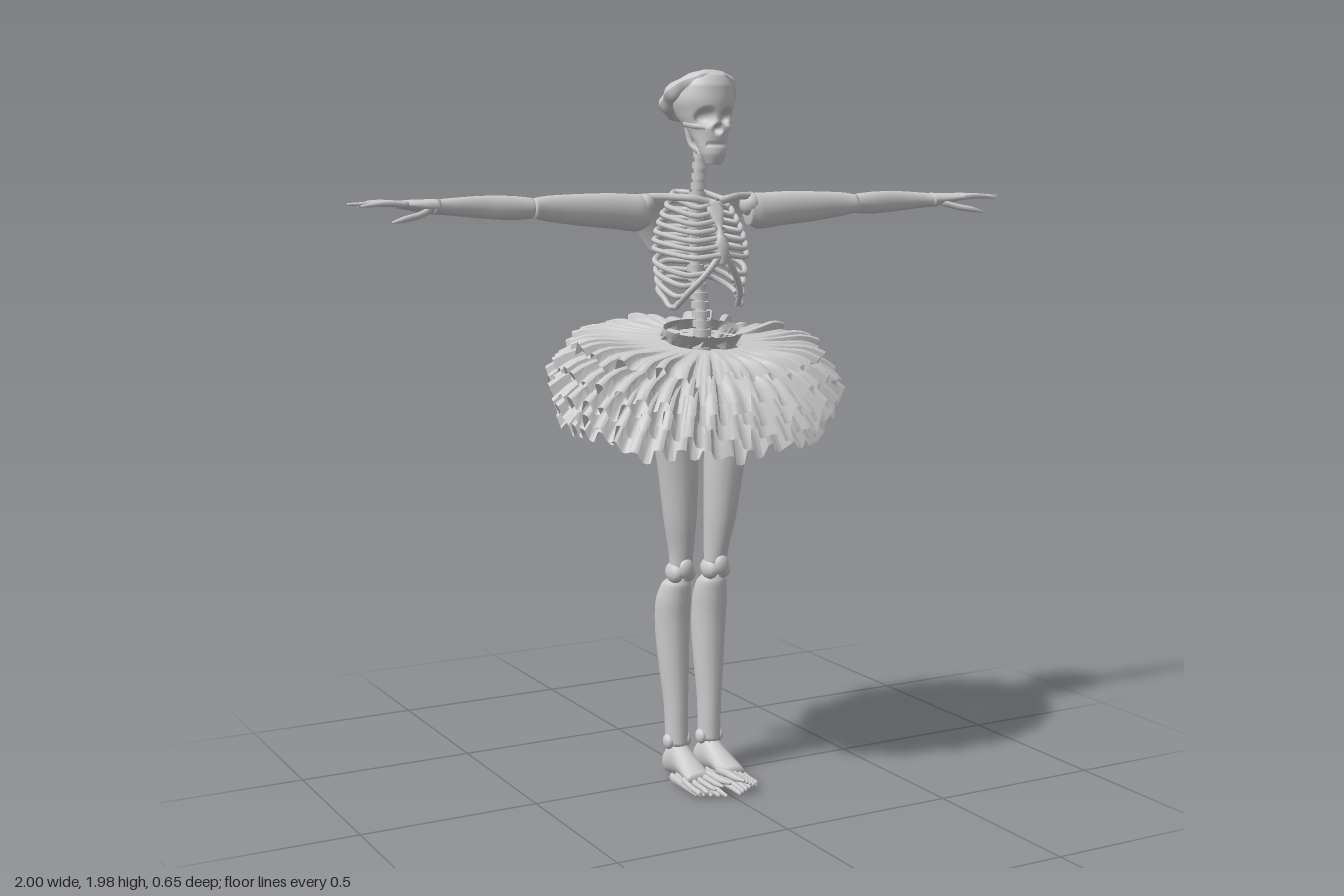
import * as THREE from 'three';
import { toCreasedNormals } from 'three/addons/utils/BufferGeometryUtils.js';

const V = (x, y, z) => new THREE.Vector3(x, y, z);
const boneGrey = new THREE.MeshStandardMaterial({ color: 0xcccccc, side: THREE.DoubleSide });
boneGrey.name = 'bone grey';

// small seeded generator
function seeded(seed) {
  return () => (seed = (seed * 16807) % 2147483647) / 2147483647;
}

// Elliptical loft; each section is [x, y, z, radiusU, radiusV].
// Frames: along y u=z v=x, along x u=y v=z, along z u=x v=y.
const FRAMES = { y: [V(0, 0, 1), V(1, 0, 0)], x: [V(0, 1, 0), V(0, 0, 1)], z: [V(1, 0, 0), V(0, 1, 0)] };
function loft(axis, sections, sides = 14, steps = 4) {
  const [u, v] = FRAMES[axis];
  const centres = new THREE.CatmullRomCurve3(sections.map(s => V(s[0], s[1], s[2])));
  const radii = new THREE.CatmullRomCurve3(sections.map(s => V(s[3], s[4], 0)));
  const rows = (sections.length - 1) * steps, pos = [], idx = [];
  for (let i = 0; i <= rows; i++) {
    const c = centres.getPoint(i / rows), r = radii.getPoint(i / rows);
    for (let j = 0; j < sides; j++) {
      const a = j / sides * Math.PI * 2;
      const p = c.clone().addScaledVector(u, r.x * Math.cos(a)).addScaledVector(v, r.y * Math.sin(a));
      pos.push(p.x, p.y, p.z);
      if (i === rows) continue;
      const k = i * sides + j, n = i * sides + (j + 1) % sides;
      idx.push(k, n, n + sides, k, n + sides, k + sides);
    }
  }
  const first = pos.length / 3, last = rows * sides;
  pos.push(...centres.getPoint(0).toArray(), ...centres.getPoint(1).toArray());
  for (let j = 0; j < sides; j++) {
    const n = (j + 1) % sides;
    idx.push(first, n, j, first + 1, last + j, last + n);
  }
  const g = new THREE.BufferGeometry();
  g.setAttribute('position', new THREE.Float32BufferAttribute(pos, 3));
  g.setIndex(idx);
  g.computeVertexNormals();
  return g;
}

const tube = (pts, r, segs = 20) =>
  new THREE.TubeGeometry(new THREE.CatmullRomCurve3(pts.map(p => V(...p))), segs, r, 6);
const ball = (x, y, z, rx, ry, rz) => new THREE.SphereGeometry(1, 14, 10).scale(rx, ry, rz).translate(x, y, z);

function mirrored(geo) {
  const g = geo.clone().scale(-1, 1, 1), a = g.index.array;
  for (let i = 0; i < a.length; i += 3) [a[i], a[i + 1]] = [a[i + 1], a[i]];
  return g;
}

// Pleated ring, elliptical and tilted forward; jagged at the rim
function skirtLayer([r0, h0, r1, h1, amp, pleats, drop], seed) {
  const rand = seeded(seed), cols = pleats * 8, rows = 9, pos = [], idx = [];
  const jitter = Array.from({ length: pleats }, () => [rand() - 0.5, rand() - 0.5]);
  for (let i = 0; i <= rows; i++) {
    const t = i / rows, hang = Math.max(0, t - 0.7) / 0.3;
    for (let j = 0; j < cols; j++) {
      const a = j / cols * Math.PI * 2, [jr, jh] = jitter[Math.floor(j / 8)];
      const wave = Math.tanh(2.5 * Math.sin(a * pleats + 0.4));
      const r = r0 + (r1 - r0) * t + t * t * (jr * 0.035 + wave * 0.006);
      const h = h0 + (h1 - h0) * t + t ** 1.6 * (amp * wave + jh * 0.03) - drop * hang * hang;
      const z = 0.045 * (1 - t) + r * 0.75 * Math.cos(a);
      pos.push(r * Math.sin(a), h - 0.21 * z, z);
      if (i === rows) continue;
      const k = i * cols + j, n = i * cols + (j + 1) % cols;
      idx.push(k, k + cols, n + cols, k, n + cols, n);
    }
  }
  const g = new THREE.BufferGeometry();
  g.setAttribute('position', new THREE.Float32BufferAttribute(pos, 3));
  g.setIndex(idx);
  return toCreasedNormals(g, 0.6);
}

export function createModel() {
  const model = new THREE.Group();
  model.name = 'dancingSkeleton';
  const group = name => {
    const g = new THREE.Group();
    g.name = name;
    model.add(g);
    return g;
  };
  const add = (parent, name, geo) => {
    const m = new THREE.Mesh(geo, boneGrey);
    m.name = name;
    parent.add(m);
  };
  const pair = (parent, name, geo) => {
    add(parent, name + 'Left', geo);
    add(parent, name + 'Right', mirrored(geo));
  };

  // Skull with sunken eyes, nose and mouth
  const head = group('head');
  const skull = loft('y', [[0, 1.732, 0.098, 0.018, 0.022], [0, 1.76, 0.092, 0.033, 0.036], [0, 1.79, 0.082, 0.04, 0.044],
    [0, 1.82, 0.063, 0.061, 0.054], [0, 1.86, 0.042, 0.082, 0.072], [0, 1.9, 0.038, 0.087, 0.084],
    [0, 1.94, 0.045, 0.076, 0.076], [0, 1.968, 0.057, 0.05, 0.053], [0, 1.983, 0.065, 0.015, 0.015]], 56, 8);
  const dents = [[0.031, 1.857, 0.02, 0.035], [-0.031, 1.857, 0.02, 0.035], [0, 1.825, 0.011, 0.025]];
  const p = skull.attributes.position;
  for (let i = 0; i < p.count; i++) {
    if (p.getZ(i) < 0.06) continue;
    let push = Math.abs(p.getX(i)) < 0.03 ? 0.005 * Math.exp(-(((p.getY(i) - 1.785) / 0.005) ** 2)) : 0;
    for (const [x, y, r, d] of dents)
      push += d * Math.exp(-((((p.getX(i) - x) ** 2 + (p.getY(i) - y) ** 2) / r ** 2) ** 2));
    p.setZ(i, p.getZ(i) - push);
  }
  skull.computeVertexNormals();
  add(head, 'skull', skull);
  pair(head, 'cheekbone', tube([[0.03, 1.828, 0.108], [0.05, 1.833, 0.088], [0.06, 1.84, 0.045]], 0.008));
  pair(head, 'jawBranch', tube([[0.034, 1.765, 0.08], [0.045, 1.785, 0.052], [0.052, 1.83, 0.04]], 0.008));

  // Lumpy hair wreath
  const wreath = new THREE.TorusGeometry(0.083, 0.024, 10, 80).rotateX(Math.PI / 2);
  const w = wreath.attributes.position;
  for (let i = 0; i < w.count; i++) {
    const x = w.getX(i), z = w.getZ(i), a = Math.atan2(z, x), r = Math.hypot(x, z);
    const f = 1 + (0.02 * Math.sin(11 * a) + 0.015 * Math.sin(7 * a + 1)) * Math.sign(r - 0.083);
    w.setXYZ(i, x * f, w.getY(i) * (1 + 0.12 * Math.sin(9 * a + 1)), z * f);
  }
  wreath.rotateX(-0.58).translate(0, 1.913, 0.01);
  wreath.computeVertexNormals();
  add(head, 'wreath', wreath);

  // Spine: stacked vertebrae with processes
  const spine = group('spine');
  const spineCurve = new THREE.CatmullRomCurve3([V(0, 1.2, 0.03), V(0, 1.3, 0.03), V(0, 1.4, 0.008),
    V(0, 1.5, -0.015), V(0, 1.6, -0.003), V(0, 1.7, 0.015), V(0, 1.82, 0.03)]);
  add(spine, 'spinalCore', new THREE.TubeGeometry(spineCurve, 30, 0.016, 10));
  for (let i = 0; i < 25; i++) {
    const c = spineCurve.getPoint(i / 24), r = 0.026 - 0.006 * i / 24;
    add(spine, 'vertebra', new THREE.CylinderGeometry(r, r, 0.018, 12).translate(c.x, c.y, c.z));
    add(spine, 'spinousProcess', new THREE.ConeGeometry(0.008, 0.024, 5).rotateX(-2).translate(0, c.y - 0.004, c.z - r - 0.002));
  }

  // Rib cage
  const cage = group('ribCage');
  for (let i = 0; i < 11; i++) {
    const t = i / 10, yb = 1.655 - 0.235 * t, width = 0.065 + 0.07 * Math.sin(Math.min(1, t * 1.5 + 0.05) * Math.PI / 2) - 0.02 * t * t;
    const low = Math.max(0, (i - 6) / 4), yf = low ? 1.475 - 0.125 * low : 1.625 - 0.022 * i;
    const xf = 0.012 + 0.085 * low, zf = low ? 0.148 - 0.085 * low : 0.1 + 0.009 * i;
    pair(cage, 'rib', tube([[0.012, yb, -0.018], [width * 0.6, yb + 0.002, -0.048], [width * 0.97, yb - (yb - yf) * 0.35, -0.015],
      [width, yb - (yb - yf) * 0.7, 0.04 - 0.01 * low], [(width + xf) * 0.52, yf - 0.008 * (1 - low), zf * 0.88], [xf, yf, zf]], 0.008, 26));
  }
  add(cage, 'sternum', loft('y', [[0, 1.465, 0.15, 0.005, 0.008], [0, 1.5, 0.148, 0.008, 0.015], [0, 1.58, 0.122, 0.008, 0.015],
    [0, 1.61, 0.106, 0.009, 0.025], [0, 1.635, 0.095, 0.006, 0.02]]));
  pair(cage, 'costalArch', tube([[0.01, 1.49, 0.148], [0.045, 1.44, 0.135], [0.08, 1.39, 0.1], [0.097, 1.35, 0.06]], 0.009));
  pair(cage, 'collarBone', tube([[0.015, 1.632, 0.095], [0.06, 1.642, 0.085], [0.11, 1.646, 0.04], [0.17, 1.645, 0.008]], 0.011));
  pair(cage, 'shoulderBlade', loft('y', [[0.105, 1.49, -0.052, 0.006, 0.01], [0.113, 1.54, -0.055, 0.007, 0.035],
    [0.12, 1.6, -0.05, 0.008, 0.055], [0.125, 1.64, -0.033, 0.008, 0.045]]));
  pair(cage, 'bladeSpine', tube([[0.06, 1.61, -0.058], [0.12, 1.637, -0.053], [0.18, 1.648, -0.01]], 0.009));

  // Arms, stretched sideways
  const arms = group('arms');
  pair(arms, 'shoulder', ball(0.165, 1.622, 0.008, 0.03, 0.033, 0.032));
  pair(arms, 'upperArm', loft('x', [[0.155, 1.608, 0.01, 0.042, 0.026], [0.19, 1.604, 0.012, 0.05, 0.033], [0.27, 1.61, 0.016, 0.047, 0.031],
    [0.36, 1.614, 0.02, 0.042, 0.027], [0.46, 1.619, 0.024, 0.033, 0.023], [0.5, 1.62, 0.026, 0.026, 0.026]]));
  pair(arms, 'elbow', ball(0.495, 1.622, 0.018, 0.028, 0.024, 0.029));
  pair(arms, 'forearm', loft('x', [[0.49, 1.62, 0.024, 0.026, 0.025], [0.56, 1.622, 0.025, 0.031, 0.022], [0.64, 1.625, 0.024, 0.029, 0.018],
    [0.73, 1.627, 0.026, 0.022, 0.019], [0.78, 1.627, 0.028, 0.019, 0.029]]));
  pair(arms, 'palm', loft('x', [[0.76, 1.628, 0.028, 0.02, 0.026], [0.8, 1.63, 0.026, 0.017, 0.036],
    [0.84, 1.633, 0.022, 0.013, 0.043], [0.87, 1.634, 0.02, 0.009, 0.042]]));
  [[-0.018, -0.026, 0.955, 1.628], [0.006, 0.004, 0.985, 1.635], [0.03, 0.03, 1, 1.637], [0.053, 0.06, 0.975, 1.632]].forEach(([z0, z1, tip, y]) =>
    pair(arms, 'finger', loft('x', [[0.85, 1.634, z0, 0.009, 0.011], [0.89, 1.638, z0 * 0.6 + z1 * 0.4, 0.008, 0.009],
      [0.93, 1.637, z0 * 0.3 + z1 * 0.7, 0.007, 0.008], [tip, y, z1, 0.003, 0.003]], 8, 3)));
  pair(arms, 'thumb', loft('x', [[0.79, 1.62, 0.045, 0.01, 0.012], [0.83, 1.607, 0.07, 0.009, 0.01],
    [0.87, 1.6, 0.085, 0.008, 0.008], [0.905, 1.592, 0.088, 0.003, 0.003]], 8, 3));

  // Pelvis
  add(group('hips'), 'pelvis', loft('y', [[0, 1.0, 0.03, 0.02, 0.025], [0, 1.05, 0.025, 0.065, 0.09], [0, 1.12, 0.025, 0.077, 0.125],
    [0, 1.19, 0.03, 0.06, 0.11], [0, 1.225, 0.035, 0.03, 0.08]], 24, 5));

  // Layered pleated skirt: [inner radius, height, outer radius, height, pleat, count, rim drop]
  const skirt = group('skirt');
  add(skirt, 'waistband', skirtLayer([0.118, 1.297, 0.112, 1.25, 0.001, 20, 0], 5));
  [[0.112, 1.262, 0.36, 1.25, 0.013, 36, 0.02], [0.112, 1.25, 0.41, 1.205, 0.016, 40, 0.03], [0.112, 1.238, 0.422, 1.165, 0.017, 42, 0.035],
    [0.112, 1.225, 0.412, 1.12, 0.017, 40, 0.04], [0.112, 1.21, 0.385, 1.07, 0.015, 36, 0.04]]
    .forEach((layer, i) => add(skirt, 'skirtLayer', skirtLayer(layer, 101 + i * 977)));

  // Legs
  const legs = group('legs');
  pair(legs, 'thigh', loft('y', [[0.055, 0.62, 0.01, 0.032, 0.032], [0.056, 0.66, 0.012, 0.04, 0.033], [0.063, 0.75, 0.02, 0.05, 0.044],
    [0.071, 0.88, 0.026, 0.057, 0.055], [0.08, 1.0, 0.03, 0.062, 0.063], [0.078, 1.1, 0.028, 0.068, 0.066], [0.07, 1.17, 0.03, 0.05, 0.05]], 18));
  pair(legs, 'kneeCap', ball(0.056, 0.62, 0.045, 0.022, 0.028, 0.014));
  for (const x of [0.037, 0.075]) pair(legs, 'kneeJoint', ball(x, 0.605, 0.008, 0.022, 0.03, 0.038));
  pair(legs, 'lowerLeg', loft('y', [[0.053, 0.1, -0.022, 0.038, 0.03], [0.053, 0.14, -0.022, 0.038, 0.031], [0.054, 0.22, -0.024, 0.041, 0.033],
    [0.056, 0.32, -0.031, 0.047, 0.041], [0.058, 0.43, -0.037, 0.055, 0.047], [0.059, 0.51, -0.03, 0.053, 0.049],
    [0.057, 0.565, -0.016, 0.042, 0.042], [0.057, 0.585, -0.008, 0.026, 0.03]], 18));
  for (const x of [0.025, 0.08]) pair(legs, 'ankle', ball(x, 0.11, -0.02, 0.014, 0.022, 0.022));

  // Feet with long separate toes
  const feet = group('feet');
  pair(feet, 'foot', loft('z', [[0.05, 0.035, -0.083, 0.014, 0.02], [0.05, 0.042, -0.06, 0.029, 0.04], [0.05, 0.06, -0.01, 0.032, 0.05],
    [0.052, 0.055, 0.035, 0.034, 0.036], [0.054, 0.042, 0.09, 0.038, 0.022], [0.055, 0.036, 0.12, 0.036, 0.014]]));
  for (let i = 0; i < 5; i++) {
    const x = 0.022 + i * 0.017, tip = 0.235 - 0.012 * i, r = i ? 0.008 : 0.011, y = 0.052 - 0.01 * i;
    pair(feet, 'toe', loft('z', [[x, 0.04 - 0.003 * i, 0.09, r, 0.012], [x, 0.045 - 0.006 * i, 0.14, r, r],
      [x, 0.046 - 0.007 * i, 0.185, r, r * 0.9], [x, y, tip, 0.003, 0.004]], 8, 3));
    pair(feet, 'soleBone', loft('z', [[x, 0.018, 0.02, 0.008, 0.014], [x, 0.014, 0.12, 0.009, 0.011], [x, 0.009, tip - 0.02, 0.004, 0.006]], 8, 3));
  }
  return model;
}
